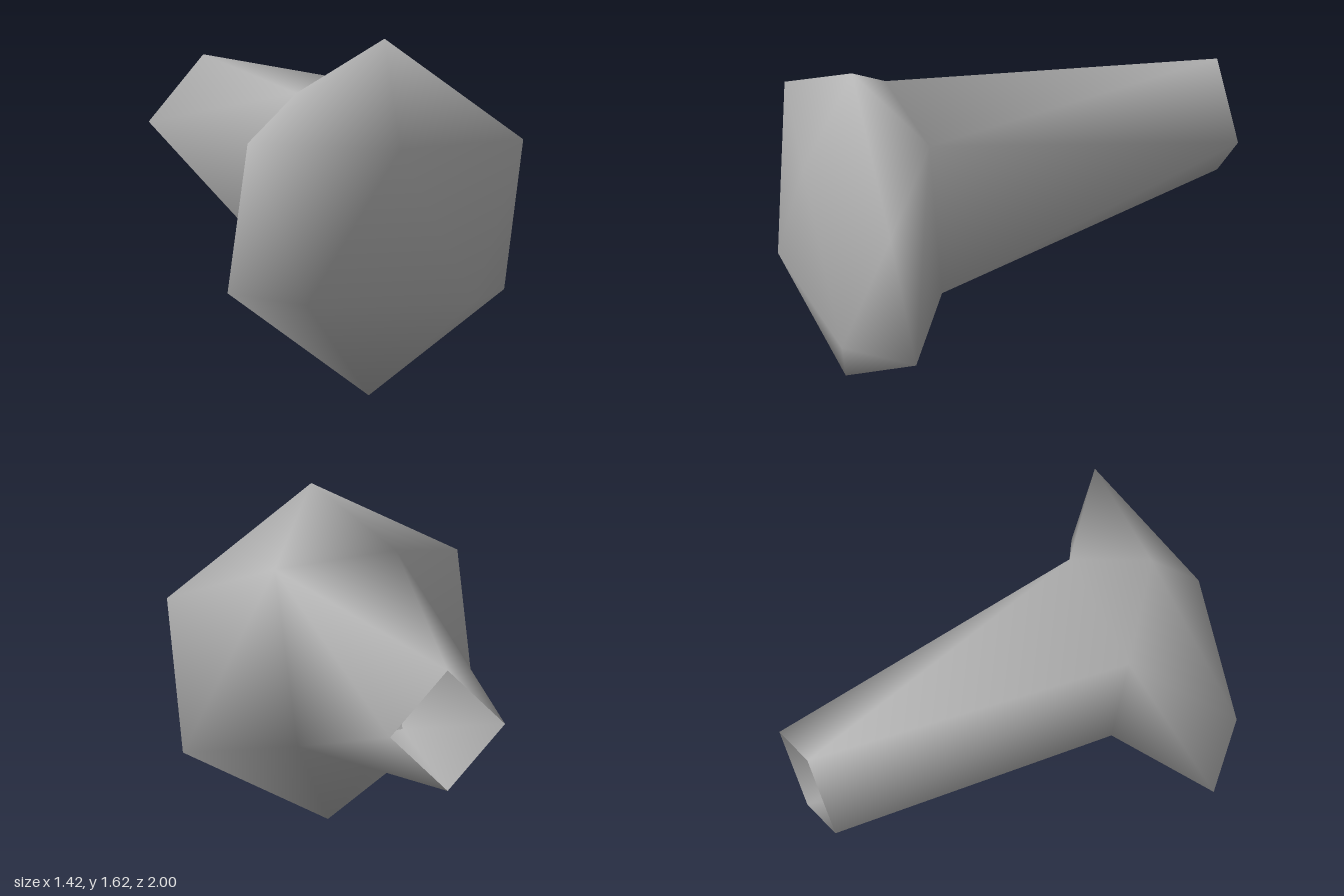
import * as THREE from 'three';

// Corners of the faceted head and the hollow handle, as [x, y, z]
const corners = {
  // front face
  f1: [0.01, 1.15, 1.0], f2: [-0.44, 0.46, 0.955], f3: [0.4, 0.42, 0.955],
  // six-sided rim
  top: [0.04, 1.625, 0.775], ul: [-0.68, 1.2, 0.835], ll: [-0.715, 0.5, 0.7],
  bot: [-0.04, 0, 0.775], lr: [0.68, 0.43, 0.7], ur: [0.71, 1.13, 0.835],
  // neck, where the handle joins the head
  n1: [-0.27, 1.36, 0.5], n2: [0.31, 1.335, 0.5], n3: [0.23, 0.505, 0.41], n4: [-0.27, 0.53, 0.41],
  // open diamond-shaped end of the handle
  et: [0, 1.325, -1], er: [0.275, 1.035, -1], eb: [0, 0.745, -1], el: [-0.275, 1.035, -1],
};
const names = Object.keys(corners);

// Turns a list of three-corner faces into a triangle index
const faces = (list) => list.flatMap((face) => face.split(' ').map((n) => names.indexOf(n)));

// Front dome, then the sloping back of the head
const headFaces = faces([
  'f1 f2 f3', 'f1 top ul', 'f1 ul f2', 'f2 ul ll', 'f2 ll bot',
  'f2 bot f3', 'f3 bot lr', 'f3 lr ur', 'f3 ur f1', 'f1 ur top',
  'ul top n1', 'n1 top n2', 'n2 top ur', 'll ul n1', 'll n1 n4',
  'bot ll n4', 'bot n4 n3', 'lr bot n3', 'ur lr n2', 'lr n3 n2',
]);

// Four-cornered neck blended into the diamond end
const handleFaces = faces([
  'n1 n2 et', 'et n2 er', 'n2 n3 er', 'er n3 eb',
  'n3 n4 eb', 'eb n4 el', 'n4 n1 el', 'el n1 et',
]);

export function createModel() {
  const group = new THREE.Group();
  group.name = 'facetedKnob';
  const grey = new THREE.MeshStandardMaterial({ color: 0xb4b4b4, side: THREE.DoubleSide });
  grey.name = 'grey';

  // Shared corners and normals keep the shading smooth across the neck
  const whole = new THREE.BufferGeometry();
  whole.setAttribute('position', new THREE.Float32BufferAttribute(Object.values(corners).flat(), 3));
  whole.setIndex([...headFaces, ...handleFaces]);
  whole.computeVertexNormals();

  for (const [name, index] of [['head', headFaces], ['handle', handleFaces]]) {
    const part = whole.clone();
    part.setIndex(index);
    const mesh = new THREE.Mesh(part, grey);
    mesh.name = name;
    group.add(mesh);
  }
  return group;
}
